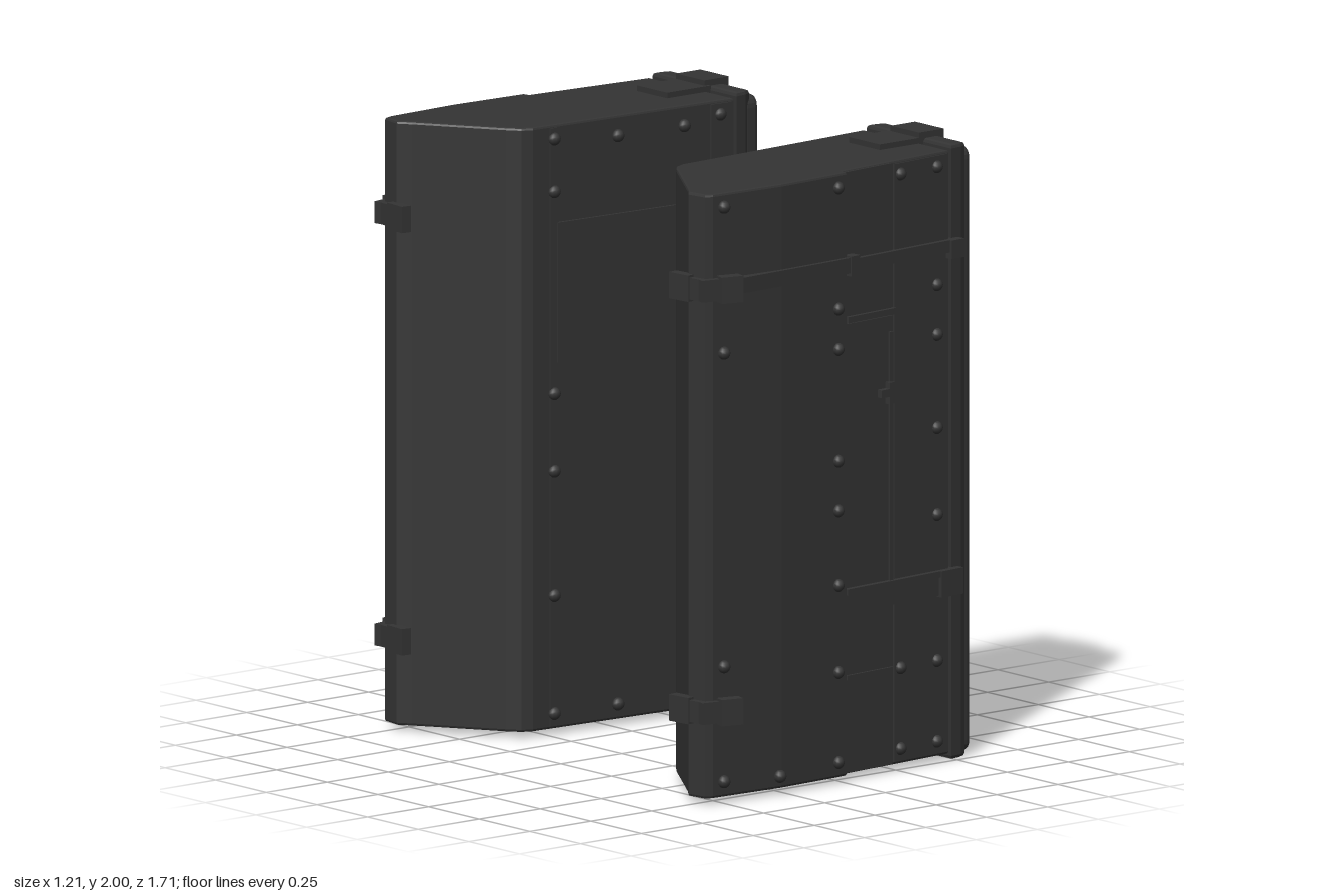
import * as THREE from 'three';

const shell = new THREE.MeshStandardMaterial({ color: 0x343434 });
shell.name = 'charcoal shell';
const glow = new THREE.MeshStandardMaterial({ color: 0x25b7c6 });
glow.name = 'cyan panel';

// Side surfaces of one tower: depth z and yaw at a given x
const surfaces = {
  outer: x => (x < 0.01
    ? { z: 0.812 - 0.05 * Math.abs(x + 0.27), yaw: x < -0.27 ? -0.05 : 0.05, out: 1 }
    : { z: 0.776 - 0.085 * (x - 0.01), yaw: 0.085, out: 1 }),
  inner: x => ({ z: 0.365 - 0.055 * (x + 0.28), yaw: 0.055, out: -1 }),
};

function mesh(group, name, geometry, material = shell) {
  const m = new THREE.Mesh(geometry, material);
  m.name = name;
  group.add(m);
  return m;
}

function box(group, name, x, y, z, w, h, d, yaw = 0, material = shell) {
  const m = mesh(group, name, new THREE.BoxGeometry(w, h, d), material);
  m.position.set(x, y, z);
  m.rotation.y = yaw;
  return m;
}

// Vertical prism with softened edges from an (x, z) outline
function prism(group, name, outline, y0, y1, bevel) {
  const shape = new THREE.Shape(outline.map(([x, z]) => new THREE.Vector2(x, -z)));
  const geo = new THREE.ExtrudeGeometry(shape, {
    depth: y1 - y0 - 2 * bevel, bevelEnabled: bevel > 0, bevelSize: bevel,
    bevelThickness: bevel, bevelOffset: -bevel, bevelSegments: 2,
  });
  geo.translate(0, 0, y0 + bevel).rotateX(-Math.PI / 2);
  return mesh(group, name, geo);
}

function roundRect(path, w, h, r) {
  const x = w / 2, y = h / 2;
  path.moveTo(-x + r, -y).lineTo(x - r, -y).quadraticCurveTo(x, -y, x, -y + r);
  path.lineTo(x, y - r).quadraticCurveTo(x, y, x - r, y);
  path.lineTo(-x + r, y).quadraticCurveTo(-x, y, -x, y - r);
  path.lineTo(-x, -y + r).quadraticCurveTo(-x, -y, -x + r, -y);
  return path;
}

// Plate lying on a side surface, raised by t
function plate(group, name, side, x0, x1, y0, y1, t) {
  const x = (x0 + x1) / 2, s = surfaces[side](x);
  return box(group, name, x, (y0 + y1) / 2, s.z + s.out * (t - 0.02) / 2,
    x1 - x0, y1 - y0, t + 0.02, s.yaw);
}

function rivet(group, x, y, z) {
  mesh(group, 'rivet', new THREE.SphereGeometry(0.021, 10, 8)).position.set(x, y, z);
}

function buildTower() {
  const g = new THREE.Group();

  // Main body with the slanted rear face
  prism(g, 'body', [
    [-0.565, 0.79], [-0.54, 0.8], [-0.27, 0.812], [0.01, 0.798], [0.014, 0.776],
    [0.475, 0.737], [0.475, 0.323], [-0.27, 0.364], [-0.31, 0.366], [-0.345, 0.382],
    [-0.375, 0.42], [-0.545, 0.68], [-0.575, 0.72],
  ], 0.02, 1.965, 0.008);

  // End cap: recessed neck, collar, window frame
  prism(g, 'neck', [[0.46, 0.72], [0.5, 0.72], [0.5, 0.34], [0.46, 0.34]], 0.03, 1.955, 0);
  prism(g, 'endCap', [
    [0.487, 0.737], [0.53, 0.732], [0.553, 0.722], [0.553, 0.34], [0.53, 0.328], [0.487, 0.322],
  ], 0, 1.98, 0.012);
  const frame = roundRect(new THREE.Shape(), 0.385, 1.95, 0.04);
  frame.holes.push(roundRect(new THREE.Path(), 0.16, 1.605, 0.025));
  const frameGeo = new THREE.ExtrudeGeometry(frame, {
    depth: 0.03, bevelSize: 0.012, bevelThickness: 0.015, bevelOffset: -0.012, bevelSegments: 2, curveSegments: 5,
  });
  const frameMesh = mesh(g, 'windowFrame', frameGeo.rotateY(Math.PI / 2));
  frameMesh.position.set(0.542, 0.985, 0.525);
  box(g, 'glowPanel', 0.564, 0.98, 0.525, 0.008, 1.61, 0.166, 0, glow);
  for (const y of [0.09, 0.88, 1.34, 1.92]) {
    rivet(g, 0.58, y, 0.662);
    rivet(g, 0.58, y, y === 0.88 || y === 1.34 ? 0.37 : 0.39);
  }

  // Latch on the top
  box(g, 'topPlate', 0.4, 1.968, 0.525, 0.18, 0.03, 0.15);
  box(g, 'topLatch', 0.52, 1.98, 0.53, 0.1, 0.04, 0.14);

  // Outer cladding plates, with narrow seams between them
  for (const [y0, y1] of [[0.025, 0.325], [0.335, 0.54], [0.61, 1.47], [1.49, 1.64], [1.68, 1.96]]) {
    plate(g, 'middlePlate', 'outer', 0.016, 0.224, y0, y1, 0.006);
  }
  plate(g, 'sidePlate', 'outer', 0.232, 0.468, 0.03, 1.955, 0.006);
  plate(g, 'middleLip', 'outer', 0.02, 0.23, 1.475, 1.495, 0.018);
  plate(g, 'middleLip', 'outer', 0.02, 0.22, 0.325, 0.34, 0.014);
  plate(g, 'panelEdge', 'outer', 0.206, 0.222, 0.62, 1.42, 0.014);
  plate(g, 'panelHandle', 'outer', 0.16, 0.215, 1.215, 1.24, 0.026);
  plate(g, 'panelHandle', 'outer', 0.195, 0.215, 1.19, 1.26, 0.026);

  // Straps and their end blocks
  plate(g, 'upperStrap', 'outer', -0.5, 0.03, 1.64, 1.69, 0.014);
  plate(g, 'upperStrap', 'outer', 0.02, 0.48, 1.64, 1.68, 0.022);
  plate(g, 'strapHinge', 'outer', 0.012, 0.05, 1.63, 1.695, 0.042);
  plate(g, 'strapEnd', 'outer', 0.46, 0.515, 1.62, 1.68, 0.032);
  plate(g, 'lowerStrap', 'outer', 0.012, 0.45, 0.6, 0.62, 0.024);
  plate(g, 'lowerStrap', 'outer', 0.012, 0.45, 0.54, 0.6, 0.014);
  plate(g, 'strapEnd', 'outer', 0.42, 0.515, 0.535, 0.62, 0.028);

  // Clasps wrapped round the rear corner
  for (const y of [0.3, 1.66]) {
    box(g, 'claspBand', -0.54, y, 0.805, 0.1, 0.07, 0.03, -0.2);
    box(g, 'claspBlock', -0.495, y, 0.828, 0.075, 0.085, 0.04, -0.25);
    box(g, 'claspCorner', -0.578, y, 0.765, 0.022, 0.07, 0.09, 0.1);
    box(g, 'claspSide', -0.583, y, 0.7, 0.034, 0.085, 0.085, 0.1);
  }

  // Inner cladding patch and edge strips
  plate(g, 'innerPatch', 'inner', -0.22, 0.33, 1.2, 1.65, 0.01);
  plate(g, 'innerStrip', 'inner', 0.385, 0.465, 0.03, 1.955, 0.007);
  plate(g, 'innerStrip', 'inner', -0.245, -0.215, 0.03, 1.955, 0.006);

  // Rivet columns: side, x, heights
  const columns = [
    ['outer', -0.03, [0.07, 0.36, 0.64, 0.88, 1.04, 1.4, 1.53, 1.92]],
    ['outer', -0.5, [0.07, 0.44, 1.45, 1.92]],
    ['outer', 0.42, [0.07, 0.33, 0.8, 1.08, 1.38, 1.54, 1.92]],
    ['outer', 0.26, [0.07, 0.33, 1.92]],
    ['outer', -0.28, [0.06]],
    ['inner', 0.42, [0.07, 0.45, 0.7, 1.0, 1.2, 1.6, 1.75, 1.92]],
    ['inner', 0.28, [0.07, 0.6, 0.95, 1.25, 1.6, 1.9]],
    ['inner', 0.02, [0.07, 1.9]],
    ['inner', -0.23, [0.07, 0.45, 0.85, 1.1, 1.75, 1.92]],
  ];
  for (const [side, x, heights] of columns) {
    const s = surfaces[side](x);
    for (const y of heights) rivet(g, x, y, s.z + s.out * 0.004);
  }
  return g;
}

// Mirrored copy across z = 0, with corner order reversed so faces stay outward
function mirrorZ(source) {
  const copy = new THREE.Group();
  for (const m of source.children) {
    m.updateMatrix();
    const geo = (m.geometry.index ? m.geometry.toNonIndexed() : m.geometry.clone()).applyMatrix4(m.matrix);
    for (const key of ['position', 'normal']) {
      const a = geo.attributes[key];
      for (let i = 0; i < a.count; i += 3) {
        const [p, q, r] = [0, 1, 2].map(k => [a.getX(i + k), a.getY(i + k), -a.getZ(i + k)]);
        a.setXYZ(i, ...p);
        a.setXYZ(i + 1, ...r);
        a.setXYZ(i + 2, ...q);
      }
    }
    geo.clearGroups();
    mesh(copy, m.name, geo, m.material);
  }
  return copy;
}

export function createModel() {
  const model = new THREE.Group();
  model.name = 'twinTowers';
  const front = buildTower();
  front.name = 'frontTower';
  const back = mirrorZ(front);
  back.name = 'backTower';
  model.add(front, back);
  return model;
}
